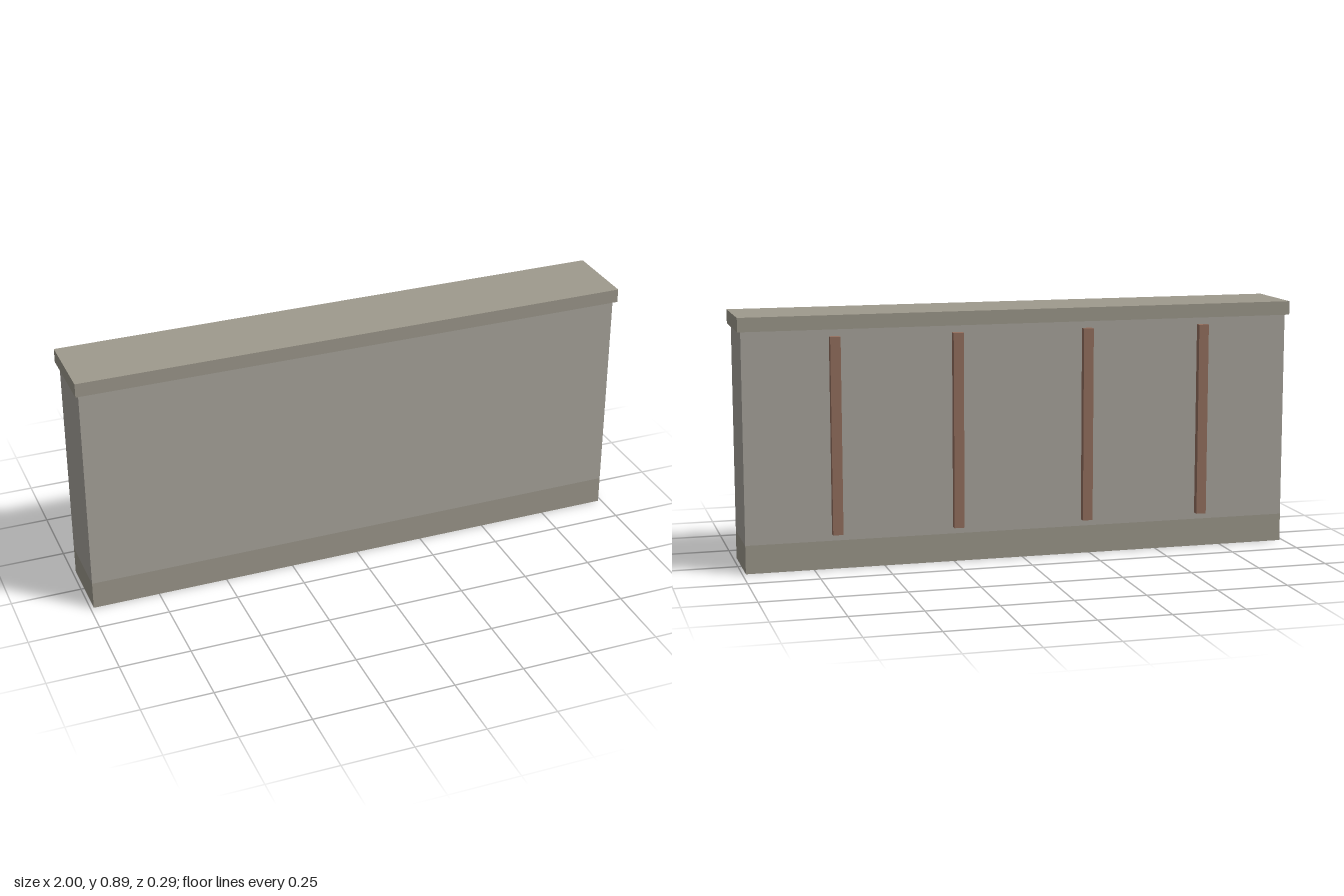
import * as THREE from 'three';

const stone = new THREE.MeshStandardMaterial({ color: 0xaaa69e });
const trim = new THREE.MeshStandardMaterial({ color: 0x9f9a8d });
const rust = new THREE.MeshStandardMaterial({ color: 0x95705f });

// Box given by its centre x, width, and y and z ranges
function block(name, material, x, width, [y0, y1], [z0, z1]) {
  const mesh = new THREE.Mesh(new THREE.BoxGeometry(width, y1 - y0, z1 - z0), material);
  mesh.name = name;
  mesh.position.set(x, (y0 + y1) / 2, (z0 + z1) / 2);
  return mesh;
}

export function createModel() {
  const model = new THREE.Group();
  model.name = 'wallSegment';

  const wallDepth = [-0.118, 0.13];
  const plinthTop = 0.1;
  const capBottom = 0.84;

  // Plinth, wall body and overhanging coping
  model.add(block('plinth', trim, 0, 1.976, [0, plinthTop], wallDepth));
  model.add(block('wallBody', stone, 0, 1.976, [plinthTop, capBottom], wallDepth));
  model.add(block('coping', trim, 0, 2, [capBottom, 0.889], [-0.132, 0.143]));

  // Upright battens on the back
  for (const x of [-0.668, -0.236, 0.236, 0.668]) {
    model.add(block('backBatten', rust, x, 0.036, [0.124, 0.815], [-0.143, wallDepth[0]]));
  }
  return model;
}
